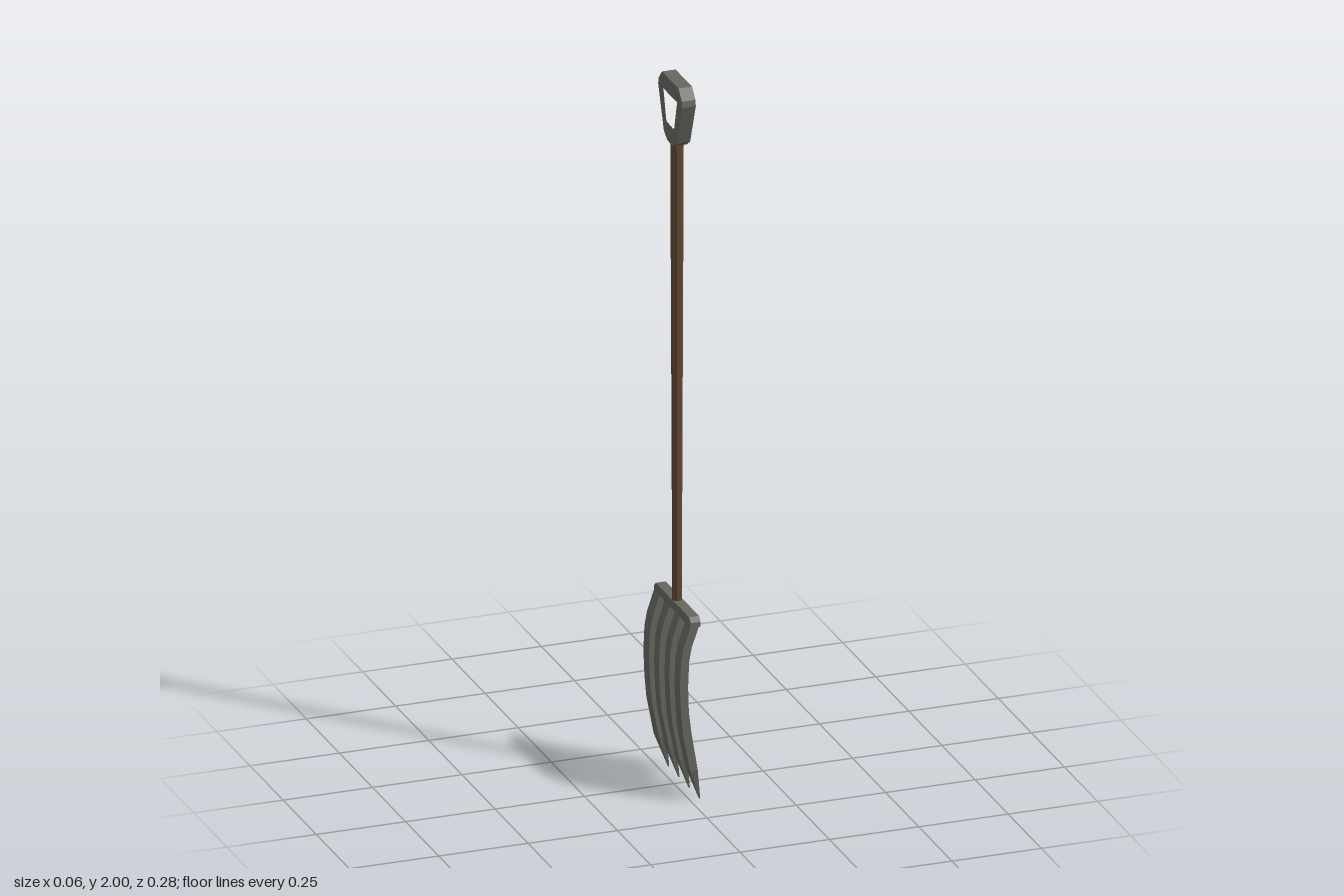
import * as THREE from 'three';

const metal = new THREE.MeshStandardMaterial({ name: 'dull grey metal', color: 0x666660, flatShading: true });
const wood = new THREE.MeshStandardMaterial({ name: 'brown wood', color: 0x5f4632, flatShading: true });

// Lofts rectangular sections [y, xBack, xFront, zMin, zMax], listed from top to bottom.
function loft(sections) {
  const pos = [], idx = [];
  for (const [y, x0, x1, z0, z1] of sections) pos.push(x0, y, z0, x0, y, z1, x1, y, z1, x1, y, z0);
  const last = (sections.length - 1) * 4;
  for (let i = 0; i < last; i += 4) {
    for (let k = 0; k < 4; k++) {
      const a = i + k, b = i + (k + 1) % 4;
      idx.push(a, a + 4, b, b, a + 4, b + 4);
    }
  }
  idx.push(0, 1, 2, 0, 2, 3, last, last + 2, last + 1, last, last + 3, last + 2);
  const g = new THREE.BufferGeometry();
  g.setAttribute('position', new THREE.Float32BufferAttribute(pos, 3));
  g.setIndex(idx);
  const flat = g.toNonIndexed();
  flat.computeVertexNormals();
  return flat;
}

// Extrudes a (z, y) outline along x between x0 and x1.
function plate(outline, hole, x0, x1) {
  const pts = (list) => list.map(([z, y]) => new THREE.Vector2(-z, y));
  const shape = new THREE.Shape(pts(outline));
  if (hole) shape.holes.push(new THREE.Path(pts(hole)));
  const g = new THREE.ExtrudeGeometry(shape, { depth: x1 - x0, bevelEnabled: false });
  return g.rotateY(Math.PI / 2).translate(x0, 0, 0);
}

// Completes a half outline (z > 0, bottom to top) by mirroring it.
const mirrored = (half) => [...half, ...half.slice().reverse().map(([z, y]) => [-z, y])];

export function createModel() {
  const model = new THREE.Group();
  model.name = 'gardenFork';
  const add = (name, geometry, material) => {
    const mesh = new THREE.Mesh(geometry, material);
    mesh.name = name;
    model.add(mesh);
  };

  // D-shaped grip with a wooden lining in its opening
  const grip = mirrored([[0.022, 1.82], [0.048, 1.838], [0.091, 1.955], [0.088, 1.972], [0.062, 2]]);
  const opening = mirrored([[0.03, 1.87], [0.053, 1.957]]);
  const lining = mirrored([[0.029, 1.871], [0.0517, 1.956]]);
  add('grip', plate(grip, opening, -0.01, 0.028), metal);
  add('gripLining', plate(opening, lining, -0.0099, 0.0279), wood);

  // Slightly tapering shaft
  const shaft = new THREE.CylinderGeometry(0.0178, 0.0125, 1.325, 8);
  add('shaft', shaft.rotateY(Math.PI / 8).translate(0.009, 1.1725, 0), wood);

  // Crossbar with clipped upper corners
  add('crossbar', plate(mirrored([[0.138, 0.496], [0.138, 0.51], [0.126, 0.522]]), null, -0.004, 0.024), metal);

  // Four curved tines, each narrowing to a point
  const bend = [[0.505, -0.002, 0.022], [0.44, -0.024, -0.001], [0.4, -0.031, -0.008],
    [0.33, -0.034, -0.011], [0.26, -0.031, -0.009], [0.2, -0.026, -0.002], [0.09, -0.005, 0.016]];
  for (const [z, half] of [[0.117, 0.021], [0.039, 0.0185], [-0.039, 0.0185], [-0.117, 0.021]]) {
    const sections = bend.map(([y, x0, x1]) => [y, x0, x1, z - half, z + half]);
    sections.push([0, 0.027, 0.03, z - 0.002, z + 0.002]);
    add('tine', loft(sections), metal);
  }
  return model;
}
